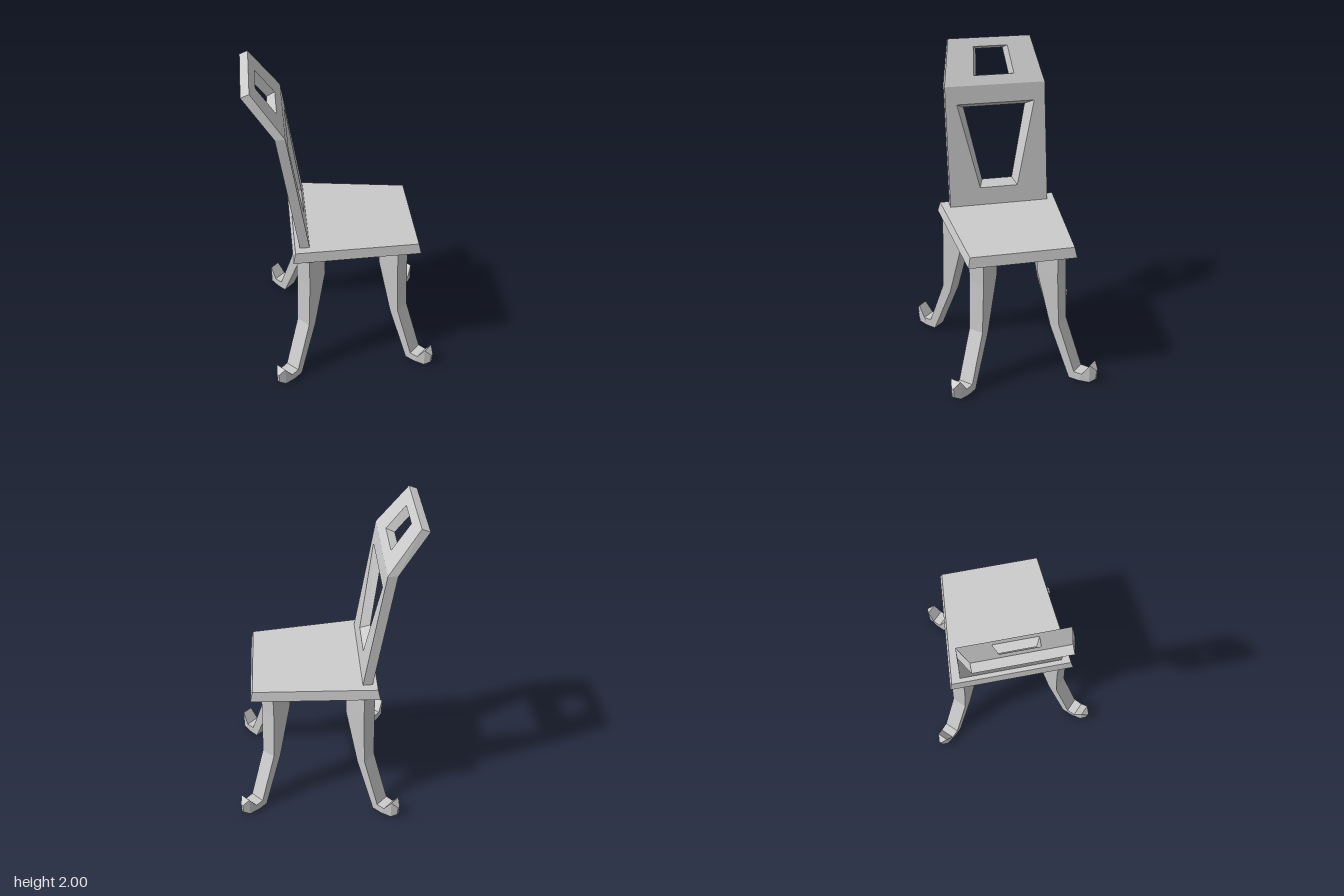
import * as THREE from 'three';

const material = new THREE.MeshStandardMaterial({ color: 0xcccccc, flatShading: true });

// Skin a list of four-cornered loops; either cap the ends or close it into a ring.
function skin(name, loops, closed = false) {
  const pos = [];
  const quad = (a, b, c, d) => pos.push(...a, ...b, ...c, ...a, ...c, ...d);
  const spans = closed ? loops.length : loops.length - 1;
  for (let k = 0; k < spans; k++) {
    const a = loops[k], b = loops[(k + 1) % loops.length];
    for (let i = 0; i < 4; i++) {
      const j = (i + 1) % 4;
      quad(a[i], a[j], b[j], b[i]);
    }
  }
  if (!closed) {
    quad(...[...loops[0]].reverse());
    quad(...loops[loops.length - 1]);
  }
  const geo = new THREE.BufferGeometry();
  geo.setAttribute('position', new THREE.Float32BufferAttribute(pos, 3));
  geo.computeVertexNormals();
  const mesh = new THREE.Mesh(geo, material);
  mesh.name = name;
  return mesh;
}

// Seat: tapered, slightly tilted slab; sections from bottom to top.
function makeSeat() {
  const slab = (xb, yb, zb, xf, yf, zf) => [[xf, yf, zf], [xf, yf, -zf], [xb, yb, -zb], [xb, yb, zb]];
  return skin('seat', [
    slab(-0.33, 0.895, 0.4, 0.47, 0.86, 0.335),
    slab(-0.315, 0.96, 0.385, 0.455, 0.925, 0.322),
  ]);
}

// Leaning panel with a bevelled window. A face is the line [x0, y0, x1, y1];
// an outline on it is [y0, halfWidth0, y1, halfWidth1].
function makePanel(name, front, back, outerWidths, frontHole, backHole) {
  const loop = ([x0, y0, x1, y1], [ya, wa, yb, wb]) => {
    const x = (y) => THREE.MathUtils.mapLinear(y, y0, y1, x0, x1);
    return [[x(ya), ya, wa], [x(ya), ya, -wa], [x(yb), yb, -wb], [x(yb), yb, wb]];
  };
  const outline = (f) => [f[1], outerWidths[0], f[3], outerWidths[1]];
  return skin(name, [
    loop(front, outline(front)), loop(front, frontHole),
    loop(back, backHole), loop(back, outline(back)),
  ], true);
}

// Leg: curved profile with an upturned toe, running along local +x.
// Stations: inner distance, inner y, outer distance, outer y, half thickness.
const LEG = [
  [0.165, 0.9, 0.27, 0.9, 0.037],
  [0.165, 0.71, 0.27, 0.7, 0.037],
  [0.237, 0.34, 0.28, 0.37, 0.035],
  [0.34, 0, 0.365, 0.055, 0.035],
  [0.39, 0, 0.405, 0.055, 0.034],
  [0.44, 0.005, 0.44, 0.132, 0.026],
  [0.462, 0.025, 0.465, 0.09, 0.006],
];
function makeLeg(name) {
  return skin(name, LEG.map(([si, yi, so, yo, half]) => {
    const i = si * Math.SQRT2, o = so * Math.SQRT2, t = half * Math.SQRT2;
    return [[o, yo, t], [i, yi, t], [i, yi, -t], [o, yo, -t]];
  }));
}

export function createModel() {
  const group = new THREE.Group();
  group.name = 'chair';
  group.add(makeSeat());

  // Backrest in two bent sections
  group.add(makePanel('lowerBackrest',
    [-0.223, 0.94, -0.345, 1.735], [-0.283, 0.94, -0.405, 1.735], [0.328, 0.328],
    [1.07, 0.125, 1.62, 0.255], [1.105, 0.1, 1.585, 0.203]));
  group.add(makePanel('headrest',
    [-0.345, 1.735, -0.53, 2], [-0.405, 1.735, -0.58, 1.98], [0.328, 0.27],
    [1.79, 0.132, 1.95, 0.112], [1.777, 0.106, 1.925, 0.088]));

  // Four splayed legs, turned to the diagonals
  for (const side of [1, -1]) {
    const label = side > 0 ? 'Left' : 'Right';
    const front = makeLeg('front' + label + 'Leg');
    front.position.x = 0.097;
    front.rotation.y = -side * Math.PI / 4;
    const back = makeLeg('back' + label + 'Leg');
    back.position.z = side * 0.078;
    back.rotation.y = -side * 3 * Math.PI / 4;
    group.add(front, back);
  }
  return group;
}
